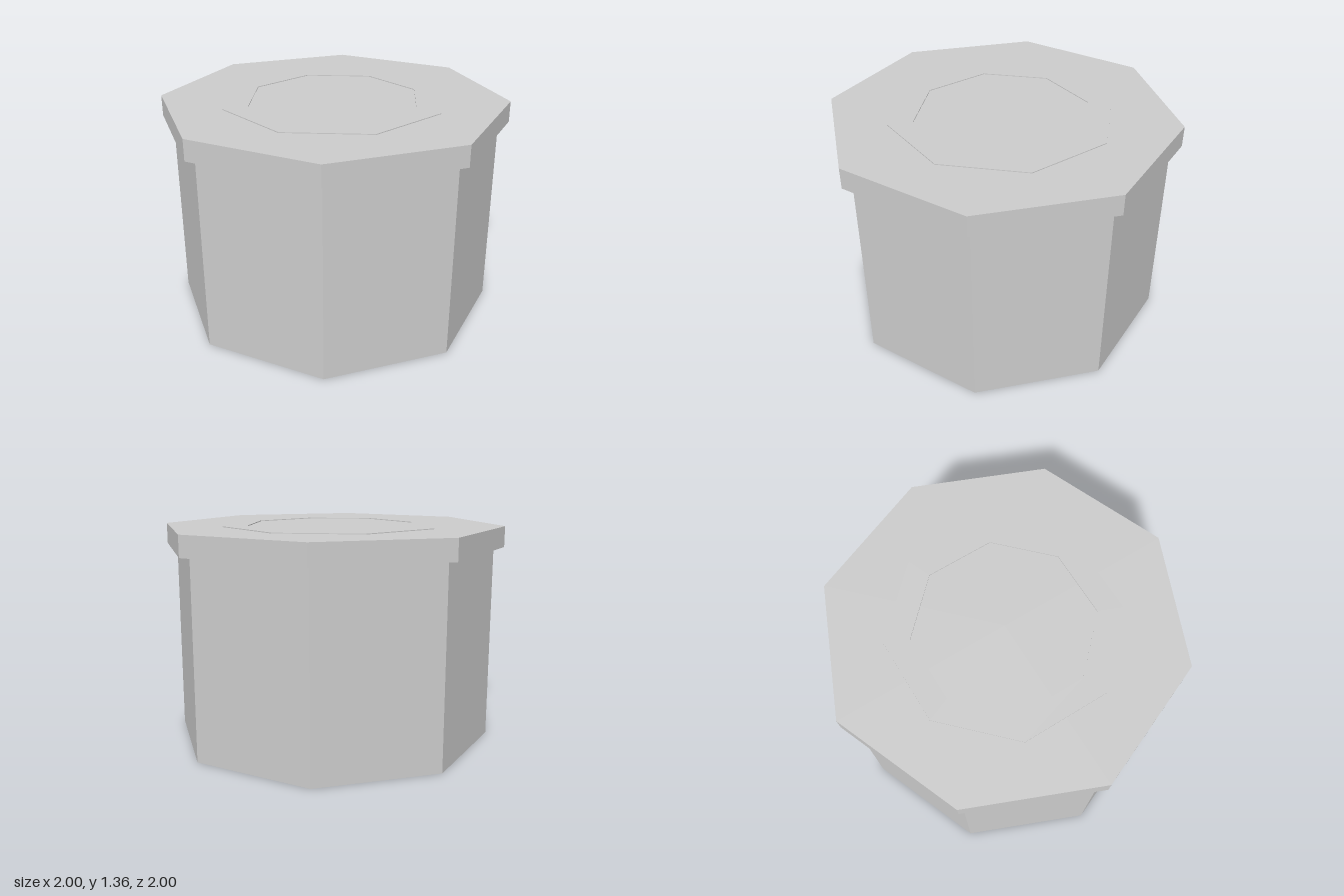
import * as THREE from 'three';

const SIDES = 8;

// Regular octagon outline with corners on the axes
function octagon(radius, PathType) {
  const points = [];
  for (let i = 0; i < SIDES; i++) {
    const a = (i / SIDES) * Math.PI * 2;
    points.push(new THREE.Vector2(Math.cos(a) * radius, Math.sin(a) * radius));
  }
  return new PathType(points);
}

export function createModel() {
  const group = new THREE.Group();
  group.name = 'octagonalContainer';
  const grey = new THREE.MeshStandardMaterial({ color: 0xcccccc, flatShading: true });
  grey.name = 'light grey';

  // Octagonal prism with flat sides facing the axes
  function prism(name, apothem, bottom, top) {
    const radius = apothem / Math.cos(Math.PI / SIDES);
    const geometry = new THREE.CylinderGeometry(radius, radius, top - bottom, SIDES, 1, false, Math.PI / SIDES);
    const mesh = new THREE.Mesh(geometry, grey);
    mesh.name = name;
    mesh.position.y = (bottom + top) / 2;
    group.add(mesh);
  }

  prism('body', 0.94, 0, 1.222);
  prism('lid', 1, 1.222, 1.352);

  // Thin ring on the lid, turned an eighth against it
  const outline = octagon(0.697, THREE.Shape);
  outline.holes.push(octagon(0.543, THREE.Path));
  const ringGeometry = new THREE.ExtrudeGeometry(outline, { depth: 0.005, bevelEnabled: false });
  ringGeometry.rotateX(-Math.PI / 2);
  const ring = new THREE.Mesh(ringGeometry, grey);
  ring.name = 'lidRing';
  ring.position.y = 1.352;
  group.add(ring);

  return group;
}
